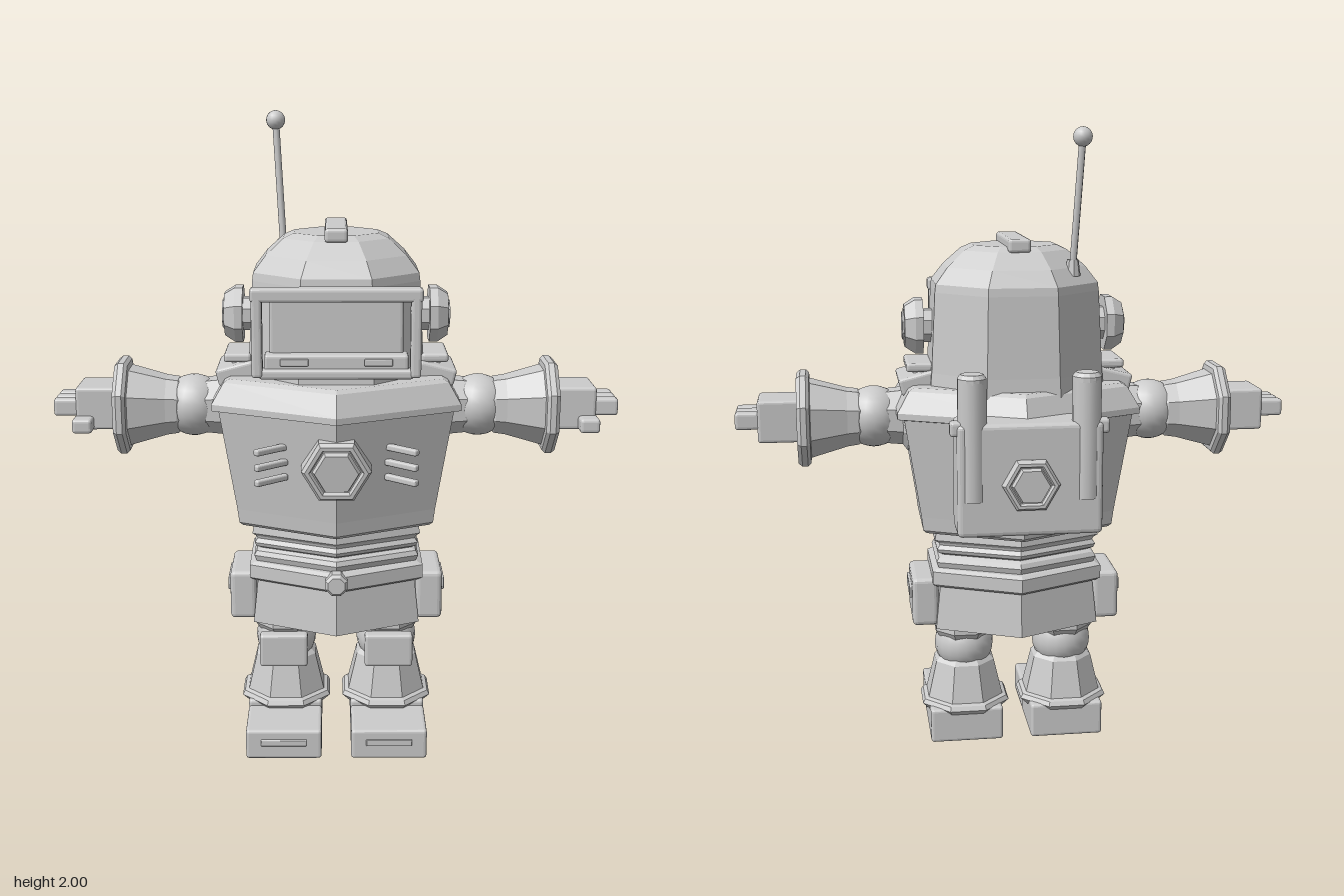
import * as THREE from 'three';
import { RoundedBoxGeometry } from 'three/addons/geometries/RoundedBoxGeometry.js';

const flat = new THREE.MeshStandardMaterial({ color: 0xcccccc, flatShading: true });
const smooth = new THREE.MeshStandardMaterial({ color: 0xcccccc });
const CZ = 0.045; // depth of the body's centre line

export function createModel() {
  const model = new THREE.Group();

  const add = (name, geometry, x, y, z, material = flat) => {
    const mesh = new THREE.Mesh(geometry, material);
    mesh.name = name;
    mesh.position.set(x, y, z);
    model.add(mesh);
    return mesh;
  };

  // Bevelled box given by its centre and size
  const box = (name, x, y, z, w, h, d, bevel = 0.01) =>
    add(name, new RoundedBoxGeometry(w, h, d, 2, Math.min(bevel, w / 3, h / 3, d / 3)), x, y, z);

  // Faceted turned form: profile of [radius, height] from bottom to top, closed at both ends
  const turned = (name, profile, sides, x, y, z, turn = 0) => {
    const closed = [[0, profile[0][1]], ...profile, [0, profile[profile.length - 1][1]]];
    const points = closed.map(([r, h]) => new THREE.Vector2(r, h));
    return add(name, new THREE.LatheGeometry(points, sides, turn), x, y, z);
  };

  // Six-sided plate with a raised inner hexagon, facing +z (dir 1) or -z (dir -1)
  const hexBadge = (name, y, z, r, depth, dir, tilt) => {
    const badge = turned(name, [
      [r, 0], [r, depth - 0.012], [r * 0.9, depth], [r * 0.78, depth],
      [r * 0.72, depth - 0.012], [r * 0.68, depth - 0.012], [r * 0.62, depth + 0.006],
    ], 6, 0, y, z, Math.PI / 6 + Math.PI / 3);
    badge.rotation.x = dir * Math.PI / 2 + tilt;
  };

  // Torso: wide hexagonal shell with an overhanging shoulder rim
  const torso = turned('torso', [
    [0.275, 0.735], [0.285, 0.745], [0.29, 0.79], [0.337, 1.11], [0.357, 1.115],
    [0.357, 1.135], [0.322, 1.2], [0.305, 1.21],
  ], 6, 0, 0, CZ);
  torso.scale.x = 1.235;
  hexBadge('chestBadge', 0.972, 0.3, 0.106, 0.085, 1, 0.1);

  // Ribbed waist, belt and pelvis
  const waist = turned('waist', [
    [0.19, 0.59], [0.215, 0.605], [0.222, 0.625], [0.215, 0.64], [0.2, 0.648], [0.215, 0.656],
    [0.22, 0.668], [0.212, 0.682], [0.215, 0.69], [0.226, 0.7], [0.222, 0.725], [0.2, 0.74],
  ], 6, 0, 0, 0.05);
  waist.scale.x = 1.36;
  const belt = turned('belt', [
    [0.235, 0.545], [0.25, 0.555], [0.25, 0.598], [0.235, 0.607],
  ], 6, 0, 0, 0.05);
  belt.scale.x = 1.27;
  const buckle = turned('beltBuckle', [[0.037, 0], [0.037, 0.035], [0.028, 0.045]], 8, 0, 0.578, 0.27, Math.PI / 8);
  buckle.rotation.x = Math.PI / 2;
  const pelvis = turned('pelvis', [[0.236, 0.4], [0.222, 0.55]], 6, 0, 0, 0.05);
  pelvis.scale.x = 1.3;

  // Head: eight-sided drum with a faceted dome
  const k = 1 / Math.cos(Math.PI / 8);
  const head = turned('head', [
    [0.255 * k, 1.19], [0.25 * k, 1.25], [0.238 * k, 1.5], [0.235 * k, 1.525],
    [0.2 * k, 1.575], [0.15 * k, 1.625], [0.12 * k, 1.64],
  ], 8, 0, 0, 0.025, Math.PI / 8);
  head.scale.x = 1.08;
  box('crest', 0, 1.645, 0.03, 0.07, 0.042, 0.33);

  // Face plate, open visor frame and mouth ledge
  box('facePlate', 0, 1.375, 0.25, 0.4, 0.19, 0.05);
  box('visorTopBar', 0, 1.487, 0.305, 0.51, 0.042, 0.05);
  box('visorLowerBar', 0, 1.25, 0.3, 0.46, 0.03, 0.05);
  box('mouthLedge', 0, 1.27, 0.275, 0.43, 0.075, 0.07);

  // Antenna
  const foot = new THREE.Vector3(-0.165, 1.53, -0.105);
  const tip = new THREE.Vector3(-0.19, 1.97, -0.137);
  add('antennaRod', new THREE.TubeGeometry(new THREE.LineCurve3(foot, tip), 1, 0.011, 8), 0, 0, 0, smooth);
  add('antennaBall', new THREE.SphereGeometry(0.03, 16, 12), tip.x, tip.y, tip.z, smooth);
  turned('antennaBase', [[0.025, 0], [0.018, 0.05]], 8, -0.168, 1.55, -0.106);

  // Backpack
  box('backpack', 0, 0.972, -0.305, 0.44, 0.345, 0.155, 0.015);
  hexBadge('backpackBadge', 0.96, -0.375, 0.088, 0.03, -1, 0);

  for (const s of [1, -1]) {
    // Turned part lying along x, starting at the body centre and pointing outwards
    const sideways = (name, profile, sides, y, z, turn = Math.PI / sides) => {
      turned(name, profile, sides, 0, y, z, turn).rotation.z = -s * Math.PI / 2;
    };

    // Visor side bars and mouth slots
    box('visorSideBar', s * 0.235, 1.37, 0.305, 0.032, 0.26, 0.05);
    box('mouthSlot', s * 0.125, 1.285, 0.31, 0.085, 0.022, 0.015, 0.004);

    // Ear caps
    sideways('earCap', [
      [0.055, 0.22], [0.055, 0.29], [0.092, 0.29], [0.092, 0.315], [0.07, 0.348],
      [0.055, 0.35], [0.05, 0.342], [0.045, 0.355],
    ], 8, 1.385, 0.035);

    // Shoulder plates
    const plate = box('shoulderPlate', s * 0.31, 1.215, CZ, 0.12, 0.055, 0.22);
    plate.rotation.z = -s * 0.25;
    box('shoulderBar', s * 0.305, 1.262, CZ, 0.085, 0.028, 0.19);
    box('shoulderBarPost', s * 0.3, 1.24, CZ, 0.05, 0.04, 0.13);

    // Chest vents, swung outwards
    for (const y of [0.925, 0.972, 1.02]) {
      box('chestVent', s * 0.197, y, 0.322, 0.118, 0.02, 0.022, 0.006).rotation.y = -s * 0.69;
    }

    // Arm: socket, ball joint, flared cuff with ring
    sideways('shoulderSocket', [[0.12, 0.27], [0.115, 0.345], [0.095, 0.36], [0.09, 0.41]], 8, 1.093, CZ);
    add('elbowBall', new THREE.SphereGeometry(0.098, 20, 14), s * 0.45, 1.093, CZ, smooth);
    sideways('forearmCuff', [
      [0.08, 0.485], [0.092, 0.5], [0.097, 0.535], [0.13, 0.65], [0.148, 0.652],
      [0.158, 0.662], [0.158, 0.68], [0.148, 0.692], [0.12, 0.692],
    ], 8, 1.093, CZ);

    // Hand with three fingers and a thumb
    box('palm', s * 0.745, 1.097, CZ, 0.14, 0.135, 0.16);
    for (const i of [-1, 0, 1]) {
      box('finger', s * 0.84, 1.1, CZ + i * 0.053, 0.09, 0.055, 0.043);
    }
    box('thumb', s * 0.79, 1.052, 0.14, 0.062, 0.045, 0.07);

    // Backpack tanks with caps and side bolts
    const tank = turned('backpackTank', [
      [0.036, 0.9], [0.044, 0.91], [0.044, 1.27], [0.036, 1.29],
    ], 12, s * 0.172, 0, -0.348);
    tank.material = smooth;
    tank.geometry = new THREE.CylinderGeometry(0.044, 0.044, 0.36, 14);
    tank.position.y = 1.09;
    turned('tankCap', [[0.044, 1.265], [0.044, 1.28], [0.034, 1.292]], 14, s * 0.172, 0, -0.348);
    box('tankClamp', s * 0.215, 1.13, -0.35, 0.05, 0.045, 0.045);

    // Hip pouch with slot
    box('hipPouch', s * 0.298, 0.487, 0.052, 0.085, 0.16, 0.215, 0.015);
    box('hipPouchSlot', s * 0.342, 0.515, 0.052, 0.014, 0.04, 0.15, 0.004);

    // Leg: thigh, knee ball, flared shin with ankle ring
    turned('thigh', [[0.075, 0.33], [0.092, 0.345], [0.105, 0.365], [0.1, 0.43]], 8, s * 0.165, 0, 0.05, Math.PI / 8);
    add('kneeBall', new THREE.SphereGeometry(0.098, 20, 14), s * 0.165, 0.31, 0.05, smooth);
    turned('shin', [
      [0.13, 0.09], [0.148, 0.108], [0.156, 0.116], [0.148, 0.13], [0.134, 0.135],
      [0.104, 0.255], [0.09, 0.27],
    ], 8, s * 0.165, 0, 0.05, Math.PI / 8);
    box('kneePad', s * 0.17, 0.3, 0.155, 0.155, 0.11, 0.045);

    // Foot: heel and toe blocks
    box('heel', s * 0.167, 0.06, 0.04, 0.24, 0.115, 0.235);
    box('toe', s * 0.167, 0.052, 0.247, 0.24, 0.098, 0.185);
    box('toeSlot', s * 0.167, 0.06, 0.339, 0.145, 0.022, 0.012, 0.003);
  }

  return model;
}
